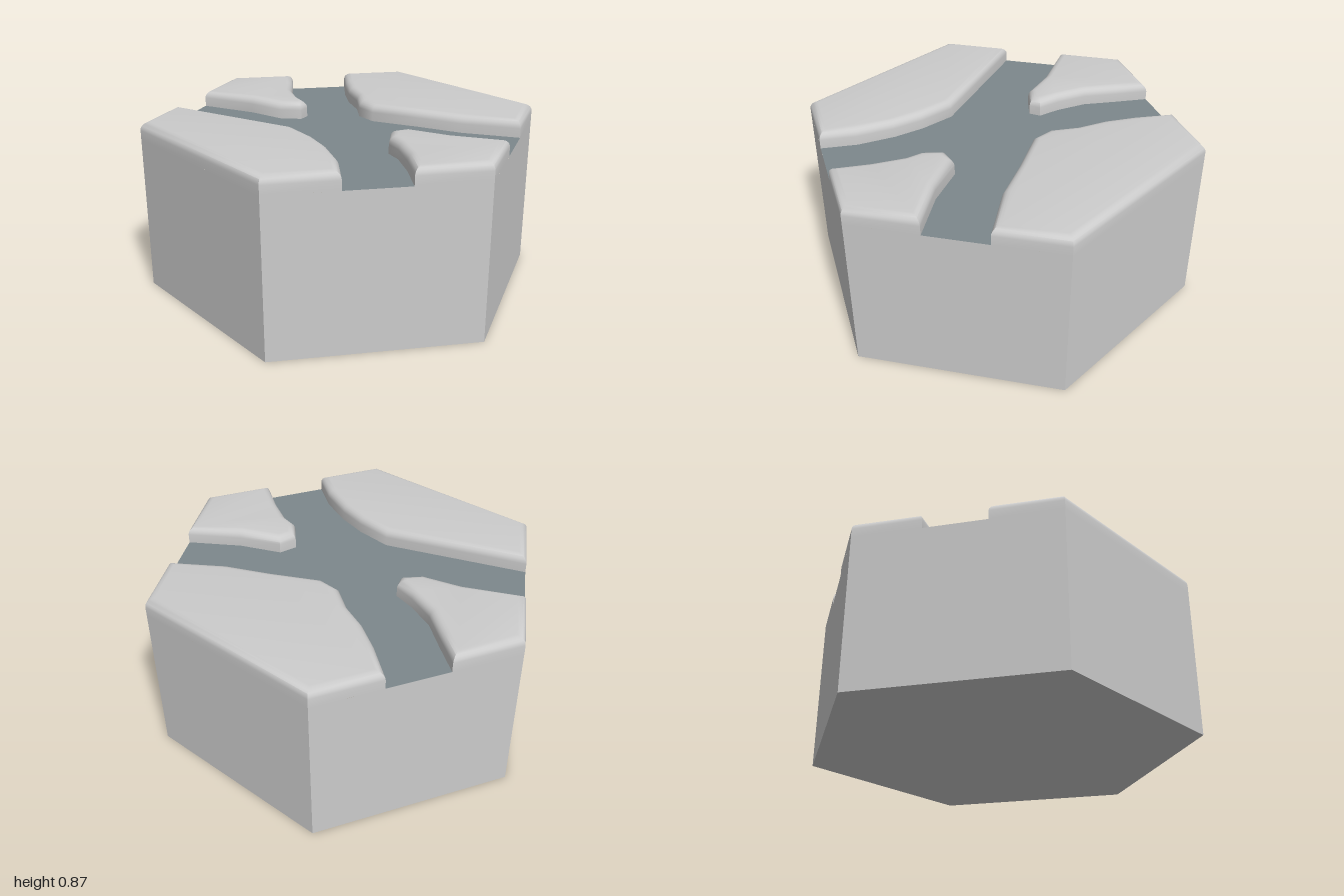
import * as THREE from 'three';
import { toCreasedNormals } from 'three/addons/utils/BufferGeometryUtils.js';

const TOP = 0.866, WATER = 0.78, ROUND = 0.04;

// Banks as [x, z], each followed by the hexagon corners that close its plate
const plates = [
  {
    name: 'backRightLand',
    bank: [[-0.296, -0.829], [-0.22, -0.64], [-0.148, -0.5], [-0.058, -0.378], [0, -0.25],
      [0.095, -0.185], [0.35, -0.167], [0.577, -0.14], [0.866, -0.156]],
    corners: [[0.866, -0.5], [0, -1]],
  },
  {
    name: 'frontRightLand',
    bank: [[0.866, 0.148], [0.593, 0.16], [0.376, 0.13], [0.307, 0.193], [0.333, 0.3],
      [0.397, 0.362], [0.48, 0.5], [0.563, 0.675]],
    corners: [[0.866, 0.5]],
  },
  {
    name: 'frontLeftLand',
    bank: [[0.296, 0.829], [0.222, 0.664], [0.11, 0.51], [0, 0.4], [-0.15, 0.29], [-0.866, 0.153]],
    corners: [[-0.866, 0.5], [0, 1]],
  },
  {
    name: 'backLeftLand',
    bank: [[-0.866, -0.157], [-0.566, -0.125], [-0.376, -0.07], [-0.27, -0.098], [-0.26, -0.156],
      [-0.34, -0.235], [-0.434, -0.362], [-0.497, -0.52], [-0.563, -0.675]],
    corners: [[-0.866, -0.5]],
  },
];

// Plan points: y of the plan is -z of the model
const toPlan = (pts) => pts.map(([x, z]) => new THREE.Vector2(x, -z));

// Moves every edge of a counter-clockwise outline inwards by d, with mitred corners
function inset(outline, d) {
  const n = outline.length;
  const inward = (a, b) => new THREE.Vector2(a.y - b.y, b.x - a.x).normalize();
  return outline.map((p, i) => {
    const n1 = inward(outline[(i + n - 1) % n], p);
    const n2 = inward(p, outline[(i + 1) % n]);
    return n1.clone().add(n2).multiplyScalar(d / (1 + n1.dot(n2))).add(p);
  });
}

// Raised plate: straight wall, quarter-round rim, flat top
function plateGeometry(outline) {
  const steps = 5, n = outline.length;
  const rings = [{ pts: outline, y: WATER }];
  for (let i = 0; i <= steps; i++) {
    const a = (i / steps) * Math.PI / 2;
    rings.push({ pts: inset(outline, ROUND * (1 - Math.cos(a))), y: TOP - ROUND * (1 - Math.sin(a)) });
  }
  const pos = [], index = [];
  for (const { pts, y } of rings) for (const p of pts) pos.push(p.x, y, -p.y);
  for (let r = 0; r < rings.length - 1; r++) {
    for (let i = 0; i < n; i++) {
      const a = r * n + i, b = r * n + (i + 1) % n;
      index.push(a, b, b + n, a, b + n, a + n);
    }
  }
  const last = (rings.length - 1) * n;
  for (const tri of THREE.ShapeUtils.triangulateShape(rings[rings.length - 1].pts, [])) {
    index.push(...tri.map((i) => last + i));
  }
  const geo = new THREE.BufferGeometry();
  geo.setAttribute('position', new THREE.Float32BufferAttribute(pos, 3));
  geo.setIndex(index);
  return toCreasedNormals(geo, 0.8);
}

export function createModel() {
  const group = new THREE.Group();
  const add = (name, geometry, material) => {
    const mesh = new THREE.Mesh(geometry, material);
    mesh.name = name;
    group.add(mesh);
  };
  const stone = new THREE.MeshStandardMaterial({ color: 0xcccccc });
  const flatStone = new THREE.MeshStandardMaterial({ color: 0xcccccc, flatShading: true });
  const surface = new THREE.MeshStandardMaterial({ color: 0x7d888c });

  // Hexagonal block, closed below and open under the plates
  const profile = [[0, 0], [1, 0], [1, WATER]].map(([x, y]) => new THREE.Vector2(x, y));
  add('hexBase', new THREE.LatheGeometry(profile, 6), flatStone);

  // Sunken crossing channels, bounded by all four banks
  const channel = new THREE.ShapeGeometry(new THREE.Shape(toPlan(plates.flatMap((p) => p.bank))));
  channel.rotateX(-Math.PI / 2).translate(0, WATER, 0);
  add('channelFloor', channel, surface);

  // Four raised land plates; the bank order runs counter-clockwise in plan
  for (const { name, bank, corners } of plates) {
    add(name, plateGeometry(toPlan([...bank, ...corners])), stone);
  }
  return group;
}
